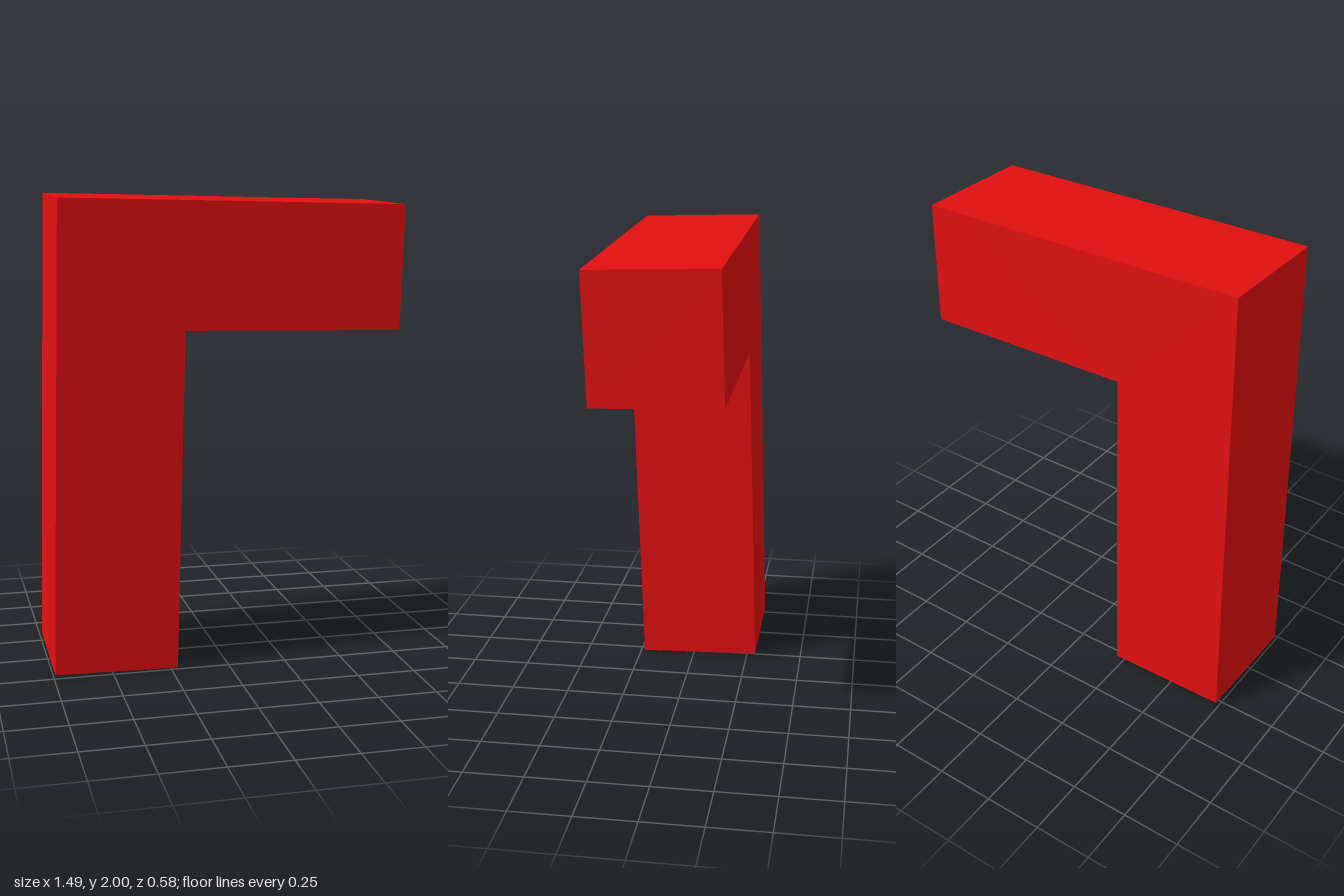
import * as THREE from 'three';

export function createModel() {
  const group = new THREE.Group();
  const length = 1.447, height = 1.975, thick = 0.525;

  // L-shaped outline: tall post on the right, arm reaching left at the top
  const outline = new THREE.Shape([
    [0, 0], [thick, 0], [thick, height - thick],
    [length, height - thick], [length, height], [0, height],
  ].map(([x, y]) => new THREE.Vector2(x, y)));
  const geometry = new THREE.ExtrudeGeometry(outline, { depth: thick, bevelEnabled: false });

  // slight lean sideways and forward, then rest on the floor
  geometry.rotateZ(-0.021);
  geometry.rotateX(0.0285);
  geometry.center();
  geometry.computeBoundingBox();
  geometry.translate(0, -geometry.boundingBox.min.y, 0);

  const block = new THREE.Mesh(
    geometry,
    new THREE.MeshStandardMaterial({ color: 0xe01010 }),
  );
  block.name = 'postAndArm';
  group.add(block);
  return group;
}
